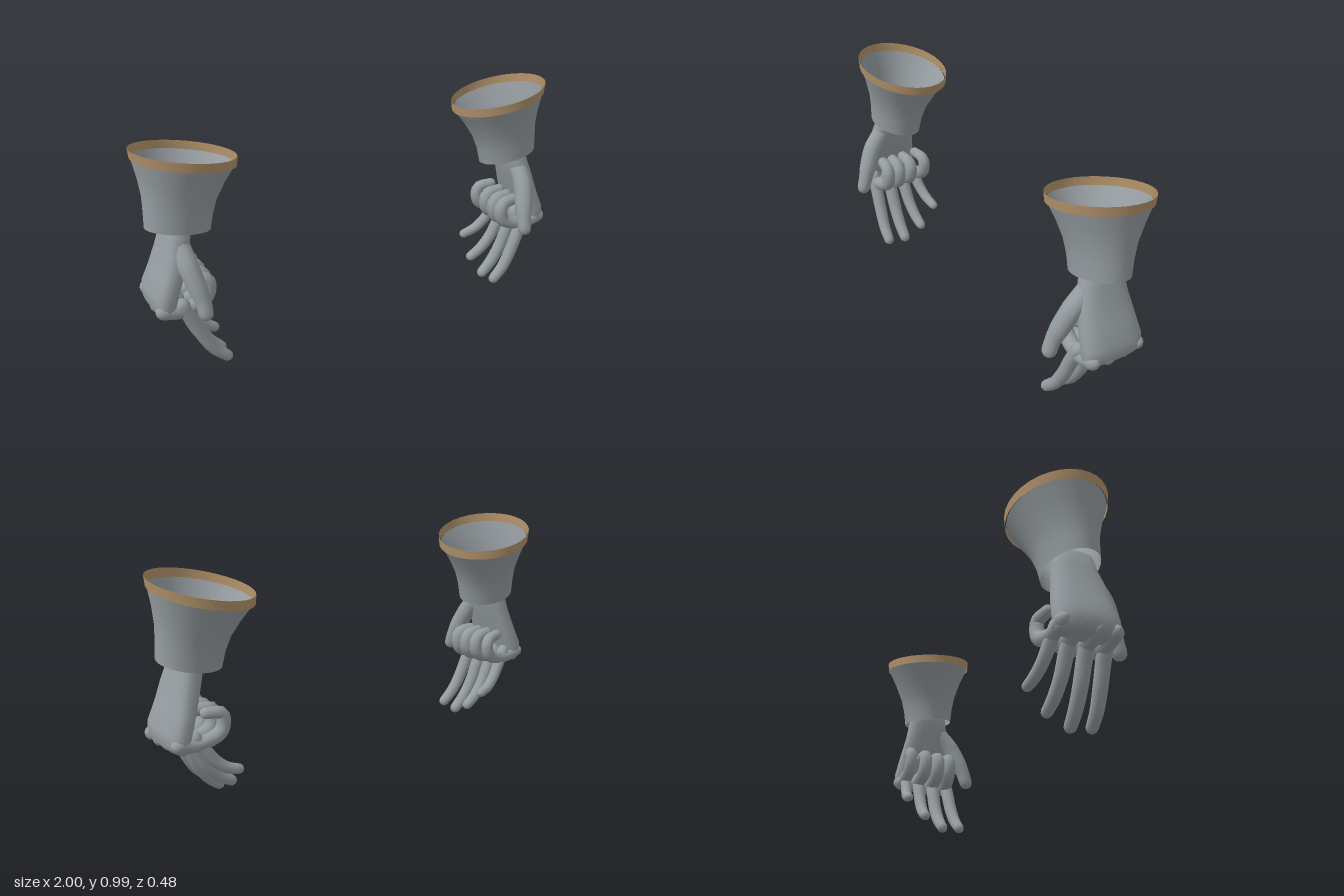
import * as THREE from 'three';

const leather = new THREE.MeshStandardMaterial({ color: 0x959ca0, side: THREE.DoubleSide });
leather.name = 'grey leather';
const tan = new THREE.MeshStandardMaterial({ color: 0xb09068, side: THREE.DoubleSide });
tan.name = 'tan trim';

// Smooth skin over closed rings of points; s mirrors it in x
function skin(rings, s, capped) {
  const n = rings[0].length, pos = [], idx = [];
  const tri = (a, b, c) => (s > 0 ? idx.push(a, b, c) : idx.push(a, c, b));
  rings.forEach(r => r.forEach(p => pos.push(p.x * s, p.y, p.z)));
  for (let i = 0; i < rings.length - 1; i++) {
    for (let j = 0; j < n; j++) {
      const k = (j + 1) % n, a = i * n, b = a + n;
      tri(a + j, a + k, b + j);
      tri(a + k, b + k, b + j);
    }
  }
  if (capped) {
    [0, rings.length - 1].forEach(i => {
      const c = rings[i].reduce((v, p) => v.add(p), new THREE.Vector3()).divideScalar(n);
      const m = pos.length / 3;
      pos.push(c.x * s, c.y, c.z);
      for (let j = 0; j < n; j++) {
        const a = i * n + j, b = i * n + (j + 1) % n;
        if (i === 0) tri(m, b, a); else tri(m, a, b);
      }
    });
  }
  const g = new THREE.BufferGeometry();
  g.setAttribute('position', new THREE.Float32BufferAttribute(pos, 3));
  g.setIndex(idx);
  g.computeVertexNormals();
  return g;
}

// Ring in a roughly level plane: superellipse of power e, tilted by slopes tx and tz
function levelRing({ x, y, z, rx, rz, e = 1, tx = 0, tz = 0 }, n) {
  const pw = v => Math.sign(v) * Math.abs(v) ** e;
  return Array.from({ length: n }, (_, j) => {
    const a = (j / n) * Math.PI * 2;
    const dx = rx * pw(Math.cos(a)), dz = rz * pw(Math.sin(a));
    return new THREE.Vector3(x + dx, y + tx * dx + tz * dz, z + dz);
  });
}

// Rounded tapering limb through [x, y, z, radius] points
function limb(pts, s, steps = 18, n = 12) {
  const curve = new THREE.CatmullRomCurve3(pts.map(p => new THREE.Vector3(p[0], p[1], p[2])));
  const frames = curve.computeFrenetFrames(steps);
  const rings = [];
  const ring = (i, along, scale) => {
    const u = i / steps, f = curve.getUtoTmapping(u) * (pts.length - 1);
    const k = Math.min(Math.floor(f), pts.length - 2);
    const r = THREE.MathUtils.lerp(pts[k][3], pts[k + 1][3], f - k);
    const c = curve.getPointAt(u).addScaledVector(frames.tangents[i], along * r);
    rings.push(Array.from({ length: n }, (_, j) => {
      const a = (j / n) * Math.PI * 2;
      return c.clone()
        .addScaledVector(frames.normals[i], Math.cos(a) * r * scale)
        .addScaledVector(frames.binormals[i], Math.sin(a) * r * scale);
    }));
  };
  const dome = [80, 55, 28].map(d => d * Math.PI / 180);
  dome.forEach(d => ring(0, -Math.sin(d), Math.cos(d)));
  for (let i = 0; i <= steps; i++) ring(i, 0, 1);
  dome.reverse().forEach(d => ring(steps, Math.sin(d), Math.cos(d)));
  return skin(rings, s, true);
}

function buildGlove(s) {
  const glove = new THREE.Group();
  glove.name = s > 0 ? 'leftGlove' : 'rightGlove';
  const add = (name, geometry, material = leather) => {
    const m = new THREE.Mesh(geometry, material);
    m.name = name;
    glove.add(m);
  };

  // Flared open cuff
  const cuff = [
    { x: .78, y: .914, z: -.03, rx: .211, rz: .203, tx: .2, tz: .11 },
    { x: .797, y: .84, z: -.023, rx: .179, rz: .168, tx: .195, tz: .115 },
    { x: .814, y: .765, z: -.015, rx: .154, rz: .138, tx: .19, tz: .12 },
    { x: .826, y: .70, z: -.009, rx: .144, rz: .123, tx: .185, tz: .13 },
    { x: .835, y: .63, z: -.005, rx: .138, rz: .115, tx: .18, tz: .14 },
  ];
  add('cuff', skin(cuff.map(c => levelRing(c, 32)), s, false));

  // Trim band round the cuff opening
  const trim = [
    { x: .779, y: .95, z: -.03, rx: .22, rz: .211, tx: .2, tz: .11 },
    { x: .779, y: .909, z: -.03, rx: .216, rz: .208, tx: .2, tz: .11 },
  ];
  add('cuffTrim', skin(trim.map(c => levelRing(c, 32)), s, false), tan);

  // Wrist and palm, widening down to the knuckles
  const palm = [
    [.70, .838, .025, 0, .05], [.69, .84, .05, 0, .085], [.62, .853, .056, 0, .098],
    [.55, .872, .058, .006, .112], [.45, .905, .058, .002, .128], [.37, .936, .058, 0, .138],
    [.315, .945, .05, 0, .138], [.29, .94, .036, 0, .125],
  ];
  add('palm', skin(palm.map(([y, x, rx, z, rz]) =>
    levelRing({ x, y, z, rx, rz, e: .75, tx: y < .4 ? .12 : 0 }, 24)), s, true));

  // Thumb
  add('thumb', limb([
    [.855, .59, .06, .042], [.845, .51, .125, .045], [.825, .42, .17, .041],
    [.815, .37, .19, .034], [.812, .322, .205, .032],
  ], s));

  // Curled fingers: knuckle, middle joint, tip tucked in to the palm
  const curledZ = [[.106, .09], [.035, .03], [-.04, -.037], [-.11, -.115]];
  curledZ.forEach(([z0, z1], i) => {
    const r = [.034, .035, .034, .031][i];
    const lift = [0, 0, .005, .012][i];
    add('curledFinger' + (i + 1), limb([
      [.96, .318 + lift, z0, r], [.87, .302 + lift, z0, r * .95], [.765, .335 + lift, z1, r],
      [.757, .41 + lift, z1, r * .9], [.825, .425 + lift, z1 * .9, r * .8],
    ], s, 22));
  });

  // Extended fingers, bending inward as they hang
  const extended = [
    [[.88, .33, .112, .032], [.84, .25, .116, .031], [.80, .16, .12, .03], [.755, .087, .126, .028], [.705, .04, .13, .025]],
    [[.88, .33, .036, .032], [.84, .25, .036, .032], [.80, .155, .036, .031], [.75, .08, .038, .029], [.70, .032, .04, .026]],
    [[.88, .33, -.036, .031], [.84, .26, -.04, .031], [.80, .18, -.044, .029], [.745, .115, -.049, .027], [.692, .08, -.053, .024]],
    [[.88, .34, -.1, .029], [.84, .28, -.11, .028], [.80, .225, -.12, .026], [.755, .187, -.13, .025], [.702, .168, -.137, .022]],
  ];
  extended.forEach((path, i) => add('extendedFinger' + (i + 1), limb(path, s)));
  return glove;
}

export function createModel() {
  const model = new THREE.Group();
  model.name = 'pairOfGloves';
  model.add(buildGlove(1), buildGlove(-1));
  return model;
}
